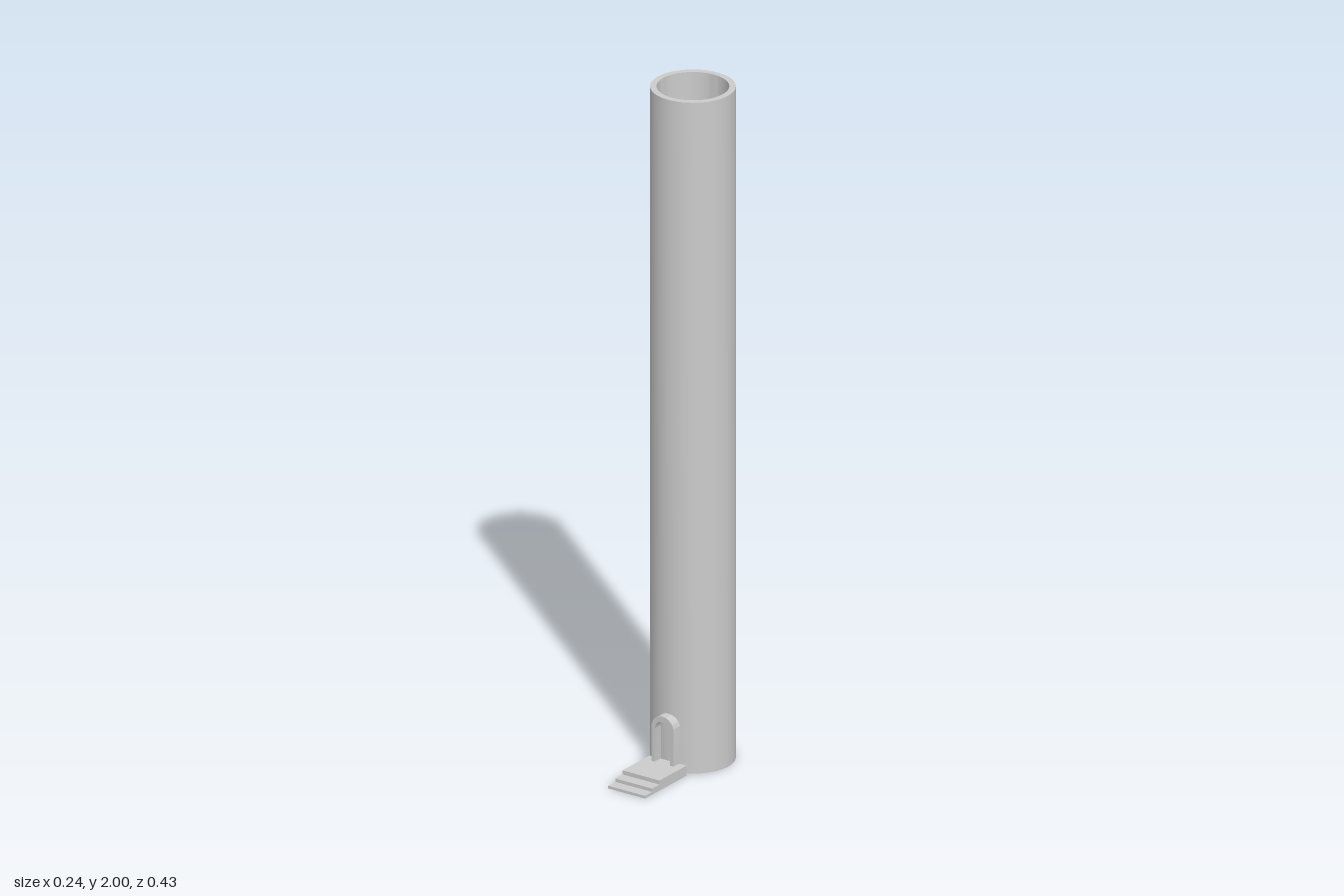
import * as THREE from 'three';
import { toCreasedNormals } from 'three/addons/utils/BufferGeometryUtils.js';

const grey = new THREE.MeshStandardMaterial({ color: 0xcccccc });

export function createModel() {
  const group = new THREE.Group();
  const add = (name, geometry, x, y, z) => {
    const mesh = new THREE.Mesh(geometry, grey);
    mesh.name = name;
    mesh.position.set(x, y, z);
    group.add(mesh);
  };

  // Hollow tower: closed base, outer wall, flat rim, inner wall, inner floor
  const profile = [[0, 0], [0.118, 0], [0.118, 2], [0.1, 2], [0.099, 0.02], [0, 0.02]]
    .map(([r, y]) => new THREE.Vector2(r, y));
  add('tower', toCreasedNormals(new THREE.LatheGeometry(profile, 64), 0.6), 0, 0, -0.1);

  // Arched door frame, reaching through the tower wall
  const archPath = (path, halfWidth, springY) => {
    path.moveTo(-halfWidth, 0);
    path.lineTo(halfWidth, 0);
    path.lineTo(halfWidth, springY);
    path.absarc(0, springY, halfWidth, 0, Math.PI, false);
    path.lineTo(-halfWidth, 0);
    return path;
  };
  const frame = new THREE.Shape();
  frame.moveTo(0.037, 0);
  frame.lineTo(0.037, 0.133);
  frame.absarc(0, 0.133, 0.037, 0, Math.PI, false);
  frame.lineTo(-0.037, 0);
  frame.lineTo(-0.026, 0);
  frame.lineTo(-0.026, 0.127);
  frame.absarc(0, 0.127, 0.026, Math.PI, 0, true);
  frame.lineTo(0.026, 0);
  const frameGeometry = new THREE.ExtrudeGeometry(frame, {
    depth: 0.048, bevelEnabled: false, curveSegments: 20,
  });
  add('doorFrame', toCreasedNormals(frameGeometry, 0.6), 0, 0, -0.003);

  // Landing and two lower steps: [back z, front z, height]
  const steps = [[0.018, 0.147, 0.03], [0.147, 0.182, 0.018], [0.182, 0.216, 0.008]];
  steps.forEach(([back, front, height], i) => {
    add(i === 0 ? 'landing' : `step${i}`,
      new THREE.BoxGeometry(0.124, height, front - back), 0, height / 2, (back + front) / 2);
  });

  return group;
}
